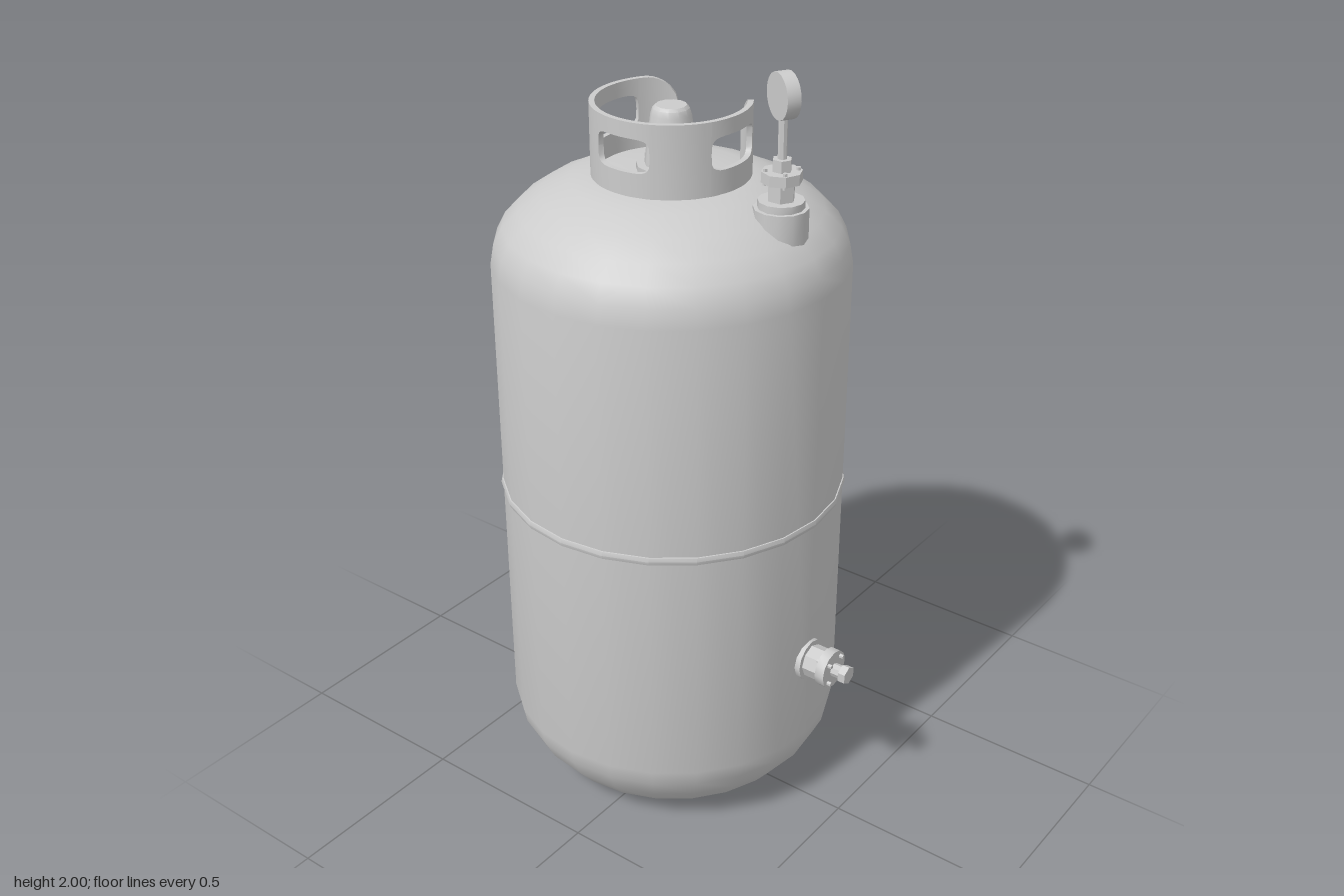
import * as THREE from 'three';
import { toCreasedNormals } from 'three/addons/utils/BufferGeometryUtils.js';

const material = new THREE.MeshStandardMaterial({ color: 0xcccccc });
const AXIS_Z = -0.06;
const DEG = Math.PI / 180;

function add(parent, name, geometry, x = 0, y = 0, z = 0) {
  const mesh = new THREE.Mesh(toCreasedNormals(geometry, 0.6), material);
  mesh.name = name;
  mesh.position.set(x, y, z);
  parent.add(mesh);
  return mesh;
}

function lathe(points, sides) {
  return new THREE.LatheGeometry(points.map(([r, y]) => new THREE.Vector2(r, y)), sides);
}

// Cylinder standing between two heights
function rod(r0, r1, y0, y1, sides) {
  return new THREE.CylinderGeometry(r1, r0, y1 - y0, sides).translate(0, (y0 + y1) / 2, 0);
}

// Four small bolts on a circle around the local y axis
function addBolts(parent, radius, y0, y1, size, offset) {
  for (let i = 0; i < 4; i++) {
    const a = offset + i * Math.PI / 2;
    add(parent, 'bolt', rod(size, size, y0, y1, 6), Math.cos(a) * radius, 0, Math.sin(a) * radius);
  }
}

// Curved plate: a rectangular section swept round the axis, its height varying with angle
function curvedPlate(angles, low, high, inner = 0.181, outer = 0.195) {
  const position = [], index = [];
  for (const a of angles) {
    const c = Math.cos(a * DEG), s = Math.sin(a * DEG);
    for (const [r, y] of [[outer, low(a)], [outer, high(a)], [inner, high(a)], [inner, low(a)]])
      position.push(c * r, y, s * r);
  }
  for (let i = 0; i < angles.length - 1; i++) {
    for (let k = 0; k < 4; k++) {
      const p = i * 4 + k, q = i * 4 + (k + 1) % 4;
      index.push(p, q, q + 4, p, q + 4, p + 4);
    }
  }
  const e = (angles.length - 1) * 4;
  index.push(0, 2, 1, 0, 3, 2, e, e + 1, e + 2, e, e + 2, e + 3);
  const geometry = new THREE.BufferGeometry();
  geometry.setAttribute('position', new THREE.Float32BufferAttribute(position, 3));
  geometry.setIndex(index);
  return geometry;
}

function makeCollar() {
  const collar = new THREE.Group();
  collar.name = 'handleCollar';
  collar.position.z = AXIS_Z;
  const base = () => 1.685;
  // The free ends have a rounded upper corner
  const top = (a) => {
    const u = Math.max(0, (58 - Math.min(a, 360 - a)) / 28);
    return 1.78 + 0.095 * Math.sqrt(Math.max(0, 1 - u * u));
  };
  const range = (a, b, n) => Array.from({ length: n + 1 }, (_, i) => a + (b - a) * i / n);
  const windows = [[64, 114], [157, 203], [246, 296]];

  let start = 30;
  for (const [a, b] of windows) {
    const mid = (a + b) / 2, half = (b - a) / 2;
    // Rounded window outline
    const opening = (t) => 0.041 * Math.pow(Math.max(0, 1 - Math.pow(Math.abs(t - mid) / half, 6)), 1 / 4);
    const angles = range(-1, 1, 16).map((u) => mid + half * Math.sin(u * Math.PI / 2));
    add(collar, 'collarPost', curvedPlate(range(start, a, 8), base, top));
    add(collar, 'collarLowerBand', curvedPlate(angles, base, (t) => 1.795 - opening(t)));
    add(collar, 'collarUpperBand', curvedPlate(angles, (t) => 1.795 + opening(t), top));
    start = b;
  }
  add(collar, 'collarPost', curvedPlate(range(start, 330, 8), base, top));
  return collar;
}

function makeCentreValve() {
  const valve = new THREE.Group();
  valve.name = 'centreValve';
  valve.position.z = AXIS_Z;
  add(valve, 'valveFlange', rod(0.086, 0.086, 1.69, 1.718, 12));
  add(valve, 'valveCap', lathe([
    [0.066, 1.715], [0.064, 1.735], [0.05, 1.84], [0.045, 1.855], [0.038, 1.862], [0, 1.862],
  ], 12));
  addBolts(valve, 0.075, 1.715, 1.728, 0.007, 0);
  return valve;
}

function makeGauge() {
  const gauge = new THREE.Group();
  gauge.name = 'pressureGauge';
  gauge.position.z = 0.26;
  add(gauge, 'gaugeBoss', rod(0.066, 0.066, 1.58, 1.68, 12));
  add(gauge, 'gaugeFlange', rod(0.056, 0.056, 1.68, 1.698, 12));
  add(gauge, 'gaugeNeck', rod(0.034, 0.034, 1.695, 1.745, 6));
  add(gauge, 'gaugeNut', rod(0.049, 0.049, 1.742, 1.768, 8));
  add(gauge, 'gaugeUpperNut', rod(0.024, 0.024, 1.768, 1.797, 6));
  addBolts(gauge, 0.039, 1.735, 1.775, 0.006, Math.PI / 4);
  add(gauge, 'gaugeStem', rod(0.011, 0.011, 1.79, 1.9, 8));
  // Dial turned towards the front corner
  const dial = add(gauge, 'gaugeDial', lathe([
    [0, -0.017], [0.055, -0.017], [0.055, 0.017], [0.049, 0.017], [0.047, 0.013], [0, 0.013],
  ], 20).rotateX(Math.PI / 2), 0, 1.945, 0);
  dial.rotation.y = 60 * DEG;
  return gauge;
}

function makeDrain() {
  const drain = new THREE.Group();
  drain.name = 'drainFitting';
  drain.position.set(0, 0.45, 0.38);
  drain.rotation.x = Math.PI / 2;
  add(drain, 'drainBase', rod(0.056, 0.056, -0.01, 0.014, 12));
  add(drain, 'drainBody', rod(0.044, 0.044, 0.01, 0.06, 8));
  add(drain, 'drainFlange', rod(0.052, 0.052, 0.058, 0.084, 12));
  addBolts(drain, 0.039, 0.05, 0.095, 0.006, Math.PI / 4);
  add(drain, 'drainNeck', rod(0.018, 0.018, 0.08, 0.115, 8));
  add(drain, 'drainNut', rod(0.025, 0.025, 0.11, 0.13, 6));
  return drain;
}

export function createModel() {
  const model = new THREE.Group();
  model.name = 'gasCylinder';

  // Tank with a domed top and a hollowed underside
  add(model, 'tank', lathe([
    [0, 0.11], [0.1, 0.103], [0.19, 0.08], [0.25, 0.045], [0.272, 0.01], [0.28, 0],
    [0.295, 0.002], [0.315, 0.013], [0.365, 0.055], [0.41, 0.11], [0.437, 0.165], [0.446, 0.21],
    [0.446, 1.48], [0.437, 1.53], [0.415, 1.572], [0.375, 1.612], [0.32, 1.65],
    [0.25, 1.682], [0.19, 1.697], [0.1, 1.702], [0, 1.703],
  ], 24), 0, 0, AXIS_Z);

  // Welded seam round the middle
  add(model, 'seam', lathe([
    [0.44, 0.855], [0.449, 0.856], [0.452, 0.866], [0.449, 0.876], [0.44, 0.877],
  ], 24), 0, 0, AXIS_Z);

  model.add(makeCollar(), makeCentreValve(), makeGauge(), makeDrain());
  return model;
}
